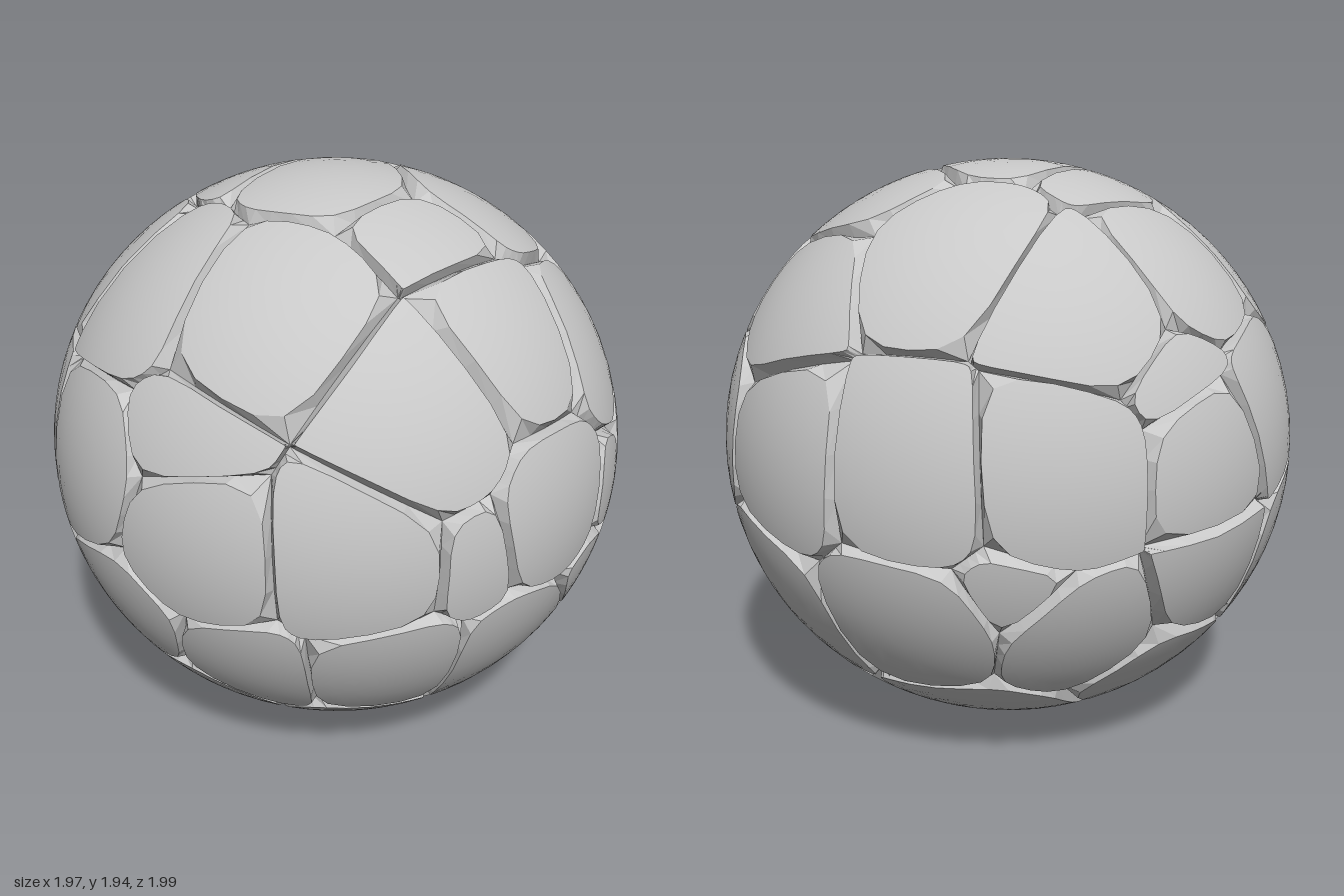
import * as THREE from 'three';

const RADII = new THREE.Vector3(0.987, 0.97, 0.997); // plate surface, half-sizes
const CRACK = 0.96;  // crack bottom as a fraction of the surface
const STEPS = 4;     // subdivisions along each cell side

// Plate centres as [azimuth from the front, elevation] in degrees
const SLABS = [
  [0, 6], [-27, 27], [0, 36], [28, 28], [-42, 3], [46, 8],
  [-36, -27], [-6, -27], [35, -26], [3, -58], [-42, -57], [57, -60],
  [0, 88], [220, 42], [180, 44], [147, 39], [113, 51], [254, 45], [294, 48],
  [53, 64], [70, 37], [82, 6], [112, 6], [73, -27], [109, -25], [137, 7],
  [122, -59], [146, -28], [168, -41], [173, -18], [171, 6], [192, 13],
  [202, -18], [224, 9], [258, 10], [268, -22], [225, -23], [207, -53],
  [110, -84], [250, -64], [288, 2], [294, -28], [278, -45], [240, -42],
];
const CHIPS = [[-19, 2], [19, 2], [13, -17], [130, -15], [190, 69], [0, 68], [283, 21], [165, 23]];

function direction([az, el]) {
  const a = THREE.MathUtils.degToRad(az), e = THREE.MathUtils.degToRad(el);
  return new THREE.Vector3(Math.cos(e) * Math.sin(a), Math.sin(e), Math.cos(e) * Math.cos(a));
}

// Point of the boulder in a given direction
const onBoulder = (dir, depth = 1) => dir.clone().multiply(RADII).multiplyScalar(depth);

// Cut a convex polygon by the half-space n.p >= 0
function clip(poly, n) {
  const out = [];
  poly.forEach((p, i) => {
    const q = poly[(i + 1) % poly.length];
    const a = n.dot(p), b = n.dot(q);
    if (a >= 0) out.push(p);
    if (a * b < 0) out.push(p.clone().lerp(q, a / (a - b)));
  });
  return out;
}

// Outline of one cell on the unit sphere, counter-clockwise from outside
function cellOutline(cell, cells) {
  const c = cell.dir;
  const u = new THREE.Vector3(0.31, 0.17, 0.93).cross(c).normalize();
  const v = c.clone().cross(u);
  let poly = [[-1, -1], [1, -1], [1, 1], [-1, 1]].map(([a, b]) =>
    c.clone().addScaledVector(u, a * 1.5).addScaledVector(v, b * 1.5));
  const own = c.clone().multiplyScalar(cell.weight);
  for (const other of cells) {
    if (other !== cell) poly = clip(poly, own.clone().addScaledVector(other.dir, -other.weight));
  }
  poly.forEach((p) => p.normalize());
  const loop = [];
  poly.forEach((p, i) => {
    const q = poly[(i + 1) % poly.length];
    for (let k = 0; k < STEPS; k++) loop.push(p.clone().lerp(q, k / STEPS).normalize());
  });
  return loop;
}

// Rim of the plate with softened corners, set back from the cell outline
function plateRim(loop, centre, inset) {
  let rim = loop;
  for (let pass = 0; pass < 2; pass++) {
    const n = rim.length;
    rim = rim.map((p, i) => p.clone().multiplyScalar(2)
      .add(rim[(i + 1) % n]).add(rim[(i + n - 1) % n]).normalize());
  }
  return rim.map((p) => {
    const inward = centre.clone().sub(p).normalize();
    return p.clone().addScaledVector(inward, inset).normalize();
  });
}

// Smooth domed face of the plate, with normals pointing outwards
function domeGeometry(rim, centre) {
  const rings = 4, n = rim.length, dirs = [centre], index = [];
  for (let r = 1; r <= rings; r++) {
    for (const p of rim) dirs.push(centre.clone().lerp(p, r / rings).normalize());
  }
  for (let r = 0; r < rings; r++) {
    for (let i = 0; i < n; i++) {
      const j = (i + 1) % n;
      const c = 1 + r * n + i, d = 1 + r * n + j;
      if (r === 0) index.push(0, c, d);
      else index.push(c - n, c, d, c - n, d, d - n);
    }
  }
  const geo = new THREE.BufferGeometry().setFromPoints(dirs.map((p) => onBoulder(p)));
  const normals = dirs.flatMap((p) => p.clone().divide(RADII).normalize().toArray());
  geo.setAttribute('normal', new THREE.Float32BufferAttribute(normals, 3));
  geo.setIndex(index);
  return geo;
}

// Faceted slope from the rim down into the crack
function bevelGeometry(rim, loop) {
  const points = [], n = rim.length;
  for (let i = 0; i < n; i++) {
    const j = (i + 1) % n;
    const a = onBoulder(rim[i]), b = onBoulder(rim[j]);
    const c = onBoulder(loop[i], CRACK), d = onBoulder(loop[j], CRACK);
    points.push(a, c, d, a, d, b);
  }
  const geo = new THREE.BufferGeometry().setFromPoints(points);
  geo.computeVertexNormals();
  return geo;
}

export function createModel() {
  const model = new THREE.Group();
  model.name = 'crackedBoulder';
  const stone = new THREE.MeshStandardMaterial({ color: 0xc8c8c8 });
  stone.name = 'light grey stone';

  // Each cell reaches about as far as its size, in degrees
  const makeCells = (list, name, size) => list.map((degrees) => ({
    name,
    dir: direction(degrees),
    weight: 1 / Math.cos(THREE.MathUtils.degToRad(size)),
  }));
  const cells = [...makeCells(SLABS, 'slab', 16), ...makeCells(CHIPS, 'chip', 9)];

  // One plate per cell: a smooth dome and a sharp bevel of varied width
  cells.forEach((cell, i) => {
    const loop = cellOutline(cell, cells);
    const middle = loop.reduce((sum, p) => sum.add(p), new THREE.Vector3()).normalize();
    const rim = plateRim(loop, middle, 0.015 + 0.009 * Math.sin(i * 7));
    const plate = new THREE.Group();
    plate.name = cell.name + (i + 1);
    const dome = new THREE.Mesh(domeGeometry(rim, middle), stone);
    dome.name = 'plateFace';
    const bevel = new THREE.Mesh(bevelGeometry(rim, loop), stone);
    bevel.name = 'plateBevel';
    plate.add(dome, bevel);
    model.add(plate);
  });

  model.position.y = RADII.y;
  return model;
}
